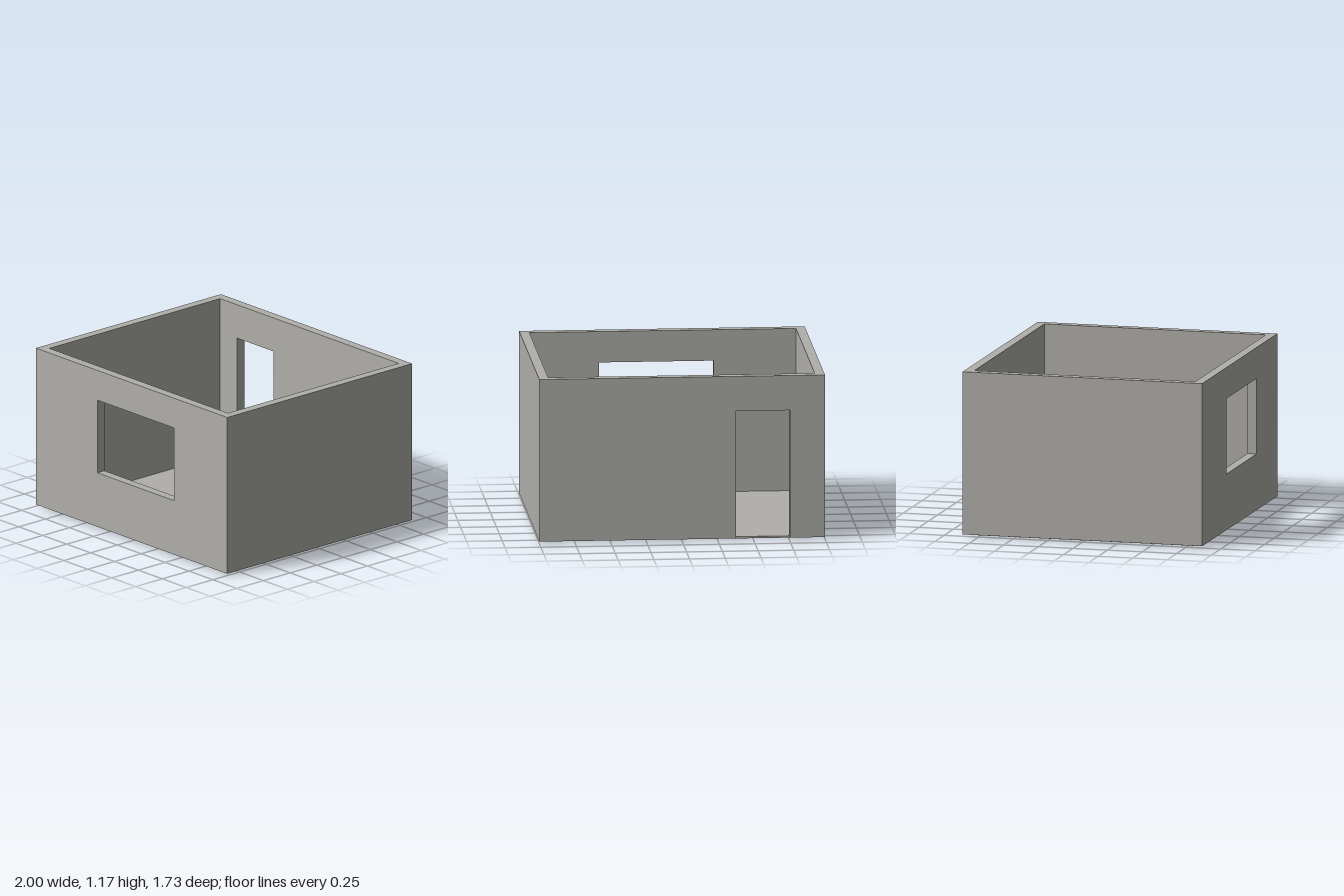
import * as THREE from 'three';

const HALF_X = 1, HALF_Z = 0.8667, WALL = 0.0667;
const BASE = 0.0133, TOP = 1.1667;

const polygon = (points) => points.map(([x, y]) => new THREE.Vector2(x, y));

export function createModel() {
  const group = new THREE.Group();
  const grey = new THREE.MeshStandardMaterial({ color: 0xb0afaa });
  grey.name = 'plaster grey';

  const add = (name, geometry, x, y, z) => {
    const mesh = new THREE.Mesh(geometry, grey);
    mesh.name = name;
    mesh.position.set(x, y, z);
    group.add(mesh);
  };
  const extrude = (shape) =>
    new THREE.ExtrudeGeometry(shape, { depth: WALL, bevelEnabled: false });

  // Floor slab, set just below the walls and flush with their inner faces
  add('floor', new THREE.BoxGeometry(2 * (HALF_X - WALL), BASE, 2 * (HALF_Z - WALL)), 0, BASE / 2, 0);

  // Front wall with the window opening
  const front = new THREE.Shape(polygon([[-HALF_X, BASE], [HALF_X, BASE], [HALF_X, TOP], [-HALF_X, TOP]]));
  front.holes.push(new THREE.Path(polygon([[-0.357, 0.411], [-0.357, 0.947], [0.445, 0.947], [0.445, 0.411]])));
  add('frontWall', extrude(front), 0, 0, HALF_Z - WALL);

  // Back wall with the doorway cut through to its bottom edge
  const [doorA, doorB, doorTop] = [-0.755, -0.378, 0.92];
  const back = new THREE.Shape(polygon([
    [-HALF_X, BASE], [doorA, BASE], [doorA, doorTop], [doorB, doorTop],
    [doorB, BASE], [HALF_X, BASE], [HALF_X, TOP], [-HALF_X, TOP],
  ]));
  add('backWall', extrude(back), 0, 0, -HALF_Z);

  // Plain side walls between front and back
  for (const [name, side] of [['leftWall', 1], ['rightWall', -1]]) {
    add(name, new THREE.BoxGeometry(WALL, TOP - BASE, 2 * (HALF_Z - WALL)),
      side * (HALF_X - WALL / 2), (TOP + BASE) / 2, 0);
  }
  return group;
}
